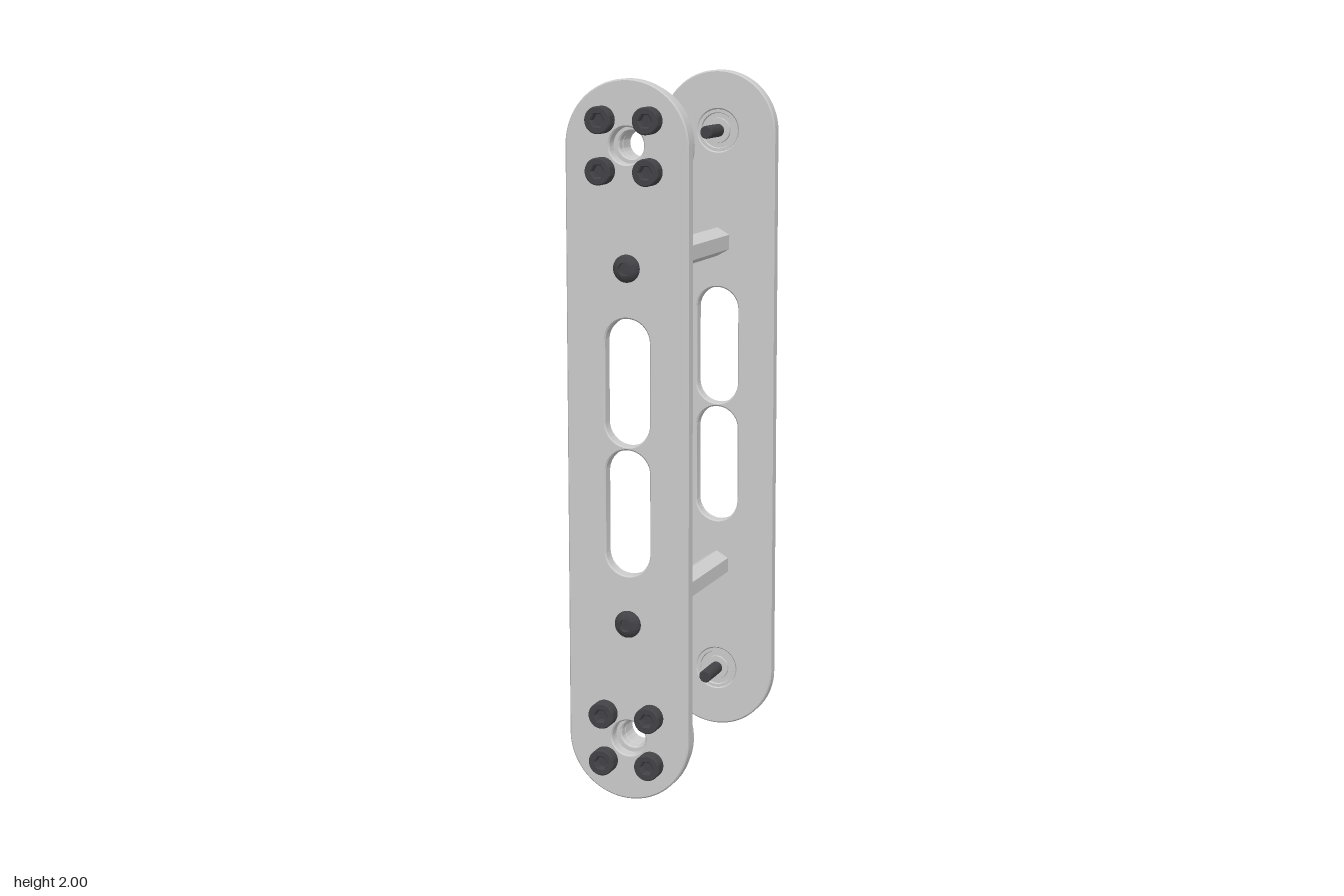
import * as THREE from 'three';
import { toCreasedNormals } from 'three/addons/utils/BufferGeometryUtils.js';

const metal = new THREE.MeshStandardMaterial({ color: 0xcccccc });
const dark = new THREE.MeshStandardMaterial({ color: 0x434347 });
const PIVOTS = [0.177, 1.823], STANDOFFS = [0.506, 1.494];
const HALF = 0.177, BOLT = 0.068;

function mesh(name, geometry, material, parent) {
  const m = new THREE.Mesh(geometry, material);
  m.name = name;
  parent.add(m);
  return m;
}

function circle(r, x = 0, y = 0, Type = THREE.Path) {
  return new Type().absarc(x, y, r, 0, Math.PI * 2, false);
}

// Upright slot with rounded ends
function slot(r, y0, y1, Type = THREE.Path) {
  const s = new Type();
  s.absarc(0, y1 - r, r, 0, Math.PI, false);
  s.absarc(0, y0 + r, r, Math.PI, Math.PI * 2, false);
  s.closePath();
  return s;
}

// Chamfered slab filling z0..z1
function slab(shape, z0, z1, bevel = 0.004) {
  const g = new THREE.ExtrudeGeometry(shape, {
    depth: z1 - z0 - 2 * bevel, curveSegments: 24, bevelEnabled: bevel > 0,
    bevelThickness: bevel, bevelSize: bevel, bevelOffset: -bevel, bevelSegments: 1,
  });
  g.translate(0, 0, z0 + bevel);
  return toCreasedNormals(g, 0.5);
}

// Solid of revolution about z from [radius, z] points, z rising
function turned(points, segments = 40) {
  const g = new THREE.LatheGeometry(points.map(p => new THREE.Vector2(...p)), segments);
  g.rotateX(Math.PI / 2);
  return toCreasedNormals(g, 0.5);
}

// Socket cap bolt: head rises along +z from 0, shank runs down to -length
function capBolt(name, r, height, shankR, length, parent) {
  const g = new THREE.Group();
  g.name = name;
  const shape = circle(r, 0, 0, THREE.Shape), hex = new THREE.Path();
  for (let i = 0; i < 6; i++) {
    const a = i * Math.PI / 3, x = r * 0.5 * Math.cos(a), y = r * 0.5 * Math.sin(a);
    i ? hex.lineTo(x, y) : hex.moveTo(x, y);
  }
  hex.closePath();
  shape.holes.push(hex);
  mesh('boltHead', slab(shape, 0, height, 0.003), dark, g);
  mesh('boltShank', turned([[0, -length], [shankR * 0.85, -length], [shankR, -length + 0.004],
    [shankR, 0.004], [r * 0.9, 0.004], [r * 0.9, height * 0.4], [0, height * 0.4]], 24), dark, g);
  parent.add(g);
  return g;
}

// Low domed screw, facing +z
function buttonScrew(parent, y, z, facing) {
  const pts = [[0, 0], [0.038, 0], [0.038, 0.004], [0.034, 0.012], [0.026, 0.018],
    [0.018, 0.02], [0.017, 0.008], [0, 0.008]];
  const m = mesh('buttonScrew', turned(pts, 32), dark, parent);
  m.position.set(0, y, z);
  if (facing < 0) m.rotation.y = Math.PI;
}

function sidePlate(name, z0, z1, holeR, parent) {
  const s = slot(HALF, 0, 2, THREE.Shape);
  s.holes.push(slot(0.065, 0.643, 0.995), slot(0.065, 1.005, 1.357));
  PIVOTS.forEach(y => s.holes.push(circle(holeR, 0, y)));
  mesh(name, slab(s, z0, z1), metal, parent);
}

// Clamping hub behind the front plate, with its four mounting bolts
function clampHub(y, flipped, parent) {
  const g = new THREE.Group();
  g.name = 'clampHub';
  const disc = circle(0.17, 0, 0, THREE.Shape);
  disc.holes.push(circle(0.037));
  for (let i = 0; i < 4; i++) {
    const a = i * Math.PI / 2;
    disc.holes.push(circle(0.018, 0.12 * Math.cos(a), 0.12 * Math.sin(a)));
  }
  mesh('hubDisc', slab(disc, 0.325, 0.356), metal, g);
  const boss = circle(0.067, 0, 0, THREE.Shape);
  boss.holes.push(circle(0.037));
  mesh('hubBoss', slab(boss, 0.268, 0.328), metal, g);
  for (const sx of [-1, 1]) for (const sy of [-1, 1]) {
    capBolt('mountingBolt', 0.037, 0.04, 0.019, 0.08, g).position.set(sx * BOLT, sy * BOLT, 0.397);
  }
  const clamp = capBolt('clampBolt', 0.025, 0.032, 0.014, 0.04, g);
  clamp.position.set(0.038, 0.074, 0.297);
  clamp.rotation.y = Math.PI / 2;
  g.position.y = y;
  if (flipped) g.rotation.z = Math.PI;
  parent.add(g);
}

// Flanged bearing in the rear plate with its axle bolt
function bearing(y, parent) {
  const g = new THREE.Group();
  g.name = 'bearing';
  mesh('bearingBody', turned([[0.017, -0.4], [0.048, -0.4], [0.048, -0.392], [0.077, -0.392],
    [0.077, -0.377], [0.062, -0.377], [0.062, -0.341], [0.053, -0.341], [0.051, -0.347],
    [0.037, -0.347], [0.036, -0.341], [0.017, -0.341], [0.017, -0.4]]), metal, g);
  const b = capBolt('axleBolt', 0.037, 0.04, 0.019, 0.165, g);
  b.position.z = -0.4;
  b.rotation.y = Math.PI;
  g.position.y = y;
  parent.add(g);
}

export function createModel() {
  const model = new THREE.Group();
  model.name = 'linkedArm';
  sidePlate('frontPlate', 0.358, 0.397, 0.05, model);
  sidePlate('rearPlate', -0.378, -0.34, 0.062, model);

  // Hexagonal standoffs between the plates
  for (const y of STANDOFFS) {
    const hex = new THREE.CylinderGeometry(0.0425, 0.0425, 0.698, 6);
    hex.rotateX(Math.PI / 2);
    const m = mesh('standoff', toCreasedNormals(hex, 0.5), metal, model);
    m.position.set(0, y, 0.009);
    buttonScrew(model, y, 0.397, 1);
    buttonScrew(model, y, -0.378, -1);
  }

  PIVOTS.forEach((y, i) => {
    clampHub(y, i === 1, model);
    bearing(y, model);
  });
  return model;
}
